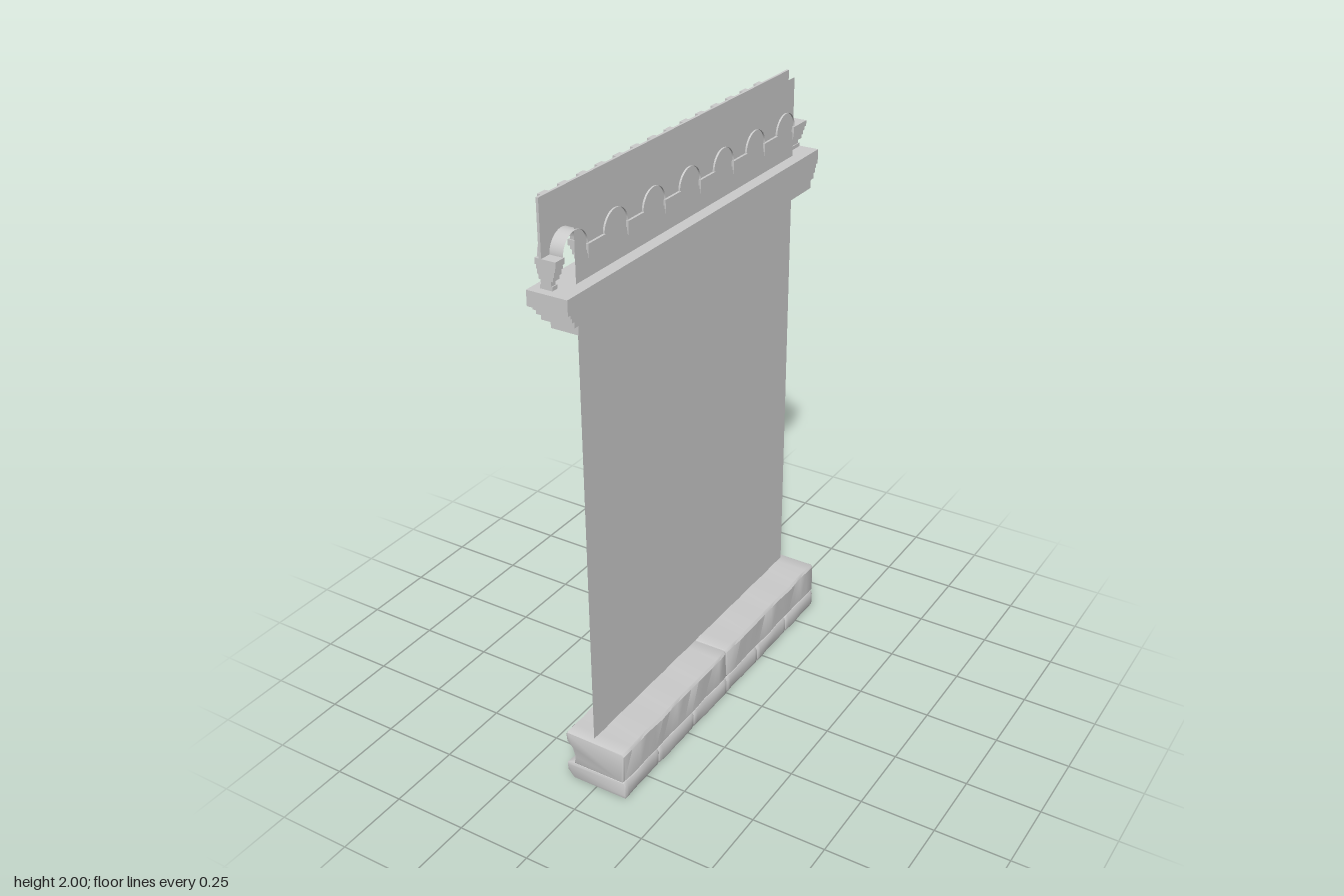
import * as THREE from 'three';
import { toCreasedNormals } from 'three/addons/utils/BufferGeometryUtils.js';

const stone = new THREE.MeshStandardMaterial({ color: 0xcccccc });
const thin = new THREE.MeshStandardMaterial({ color: 0xcccccc, side: THREE.DoubleSide });

const PITCH = 0.193, ARCHES = 7, FIRST = 0.612, SPRING = 1.83, R = 0.058;

function add(parent, name, geometry, material = stone) {
  const mesh = new THREE.Mesh(geometry, material);
  mesh.name = name;
  parent.add(mesh);
  return mesh;
}

// Box given by its limits on each axis
function box(parent, name, x0, x1, y0, y1, z0, z1) {
  add(parent, name, new THREE.BoxGeometry(x1 - x0, y1 - y0, z1 - z0))
    .position.set((x0 + x1) / 2, (y0 + y1) / 2, (z0 + z1) / 2);
}

// Extrude a shape drawn in (z, y) through x0..x1
function slab(shape, x0, x1) {
  const g = new THREE.ExtrudeGeometry(shape, { depth: x1 - x0, bevelEnabled: false, curveSegments: 20 });
  g.rotateY(-Math.PI / 2);
  g.translate(x1, 0, 0);
  return toCreasedNormals(g, 0.6);
}

// Worn block: an (x, y) profile run along z, with bevelled ends and a slight waviness
function wornBlock(parent, name, points, z0, z1) {
  const b = 0.006;
  const shape = new THREE.Shape(points.map(p => new THREE.Vector2(...p)));
  const g = new THREE.ExtrudeGeometry(shape, {
    depth: z1 - z0 - 2 * b, steps: 14, bevelSize: b, bevelOffset: -b, bevelThickness: b, bevelSegments: 2,
  });
  g.translate(0, 0, z0 + b);
  const p = g.attributes.position;
  for (let i = 0; i < p.count; i++) {
    const x = p.getX(i), y = p.getY(i), z = p.getZ(i);
    const wave = Math.sin(z * 23 + y * 31) * 0.6 + Math.sin(z * 51 - y * 47 + 1) * 0.4;
    p.setX(i, x + wave * (x < 0 ? 0.005 : 0.002));
    if (y > 0.01) p.setY(i, y + Math.sin(z * 37 + x * 20) * 0.0015);
  }
  add(parent, name, toCreasedNormals(g, 0.7));
}

function makeBase() {
  const base = new THREE.Group();
  base.name = 'base';
  const lower = [[-0.092, 0], [0.108, 0], [0.112, 0.012], [0.112, 0.05], [0.106, 0.061],
    [-0.085, 0.061], [-0.11, 0.05], [-0.112, 0.025]];
  const upper = [[-0.08, 0.061], [0.1, 0.061], [0.109, 0.07], [0.109, 0.167], [0.102, 0.175],
    [-0.108, 0.175], [-0.114, 0.165], [-0.11, 0.14], [-0.088, 0.12], [-0.075, 0.09]];
  const joints = [-0.627, -0.42, -0.21, 0, 0.215, 0.43, 0.63];
  for (let i = 0; i < joints.length - 1; i++) wornBlock(base, 'lowerStone', lower, joints[i], joints[i + 1]);
  wornBlock(base, 'upperStone', upper, -0.627, 0);
  wornBlock(base, 'upperStone', upper, 0, 0.63);
  return base;
}

function makeCornice() {
  const cornice = new THREE.Group();
  cornice.name = 'cornice';
  // back x, bottom y, top y, half length
  const steps = [
    [-0.11, 1.682, 1.73, 0.707], [-0.1, 1.67, 1.682, 0.695], [-0.094, 1.656, 1.67, 0.689],
    [-0.085, 1.638, 1.656, 0.68], [-0.067, 1.61, 1.638, 0.662],
  ];
  for (const [x, y0, y1, h] of steps) box(cornice, 'corniceStep', x, 0.025, y0, y1, -h, h);
  return cornice;
}

function makeArcade() {
  const arcade = new THREE.Group();
  arcade.name = 'arcade';
  const centres = Array.from({ length: ARCHES }, (_, i) => FIRST - i * PITCH).reverse();

  // Frieze plate with its lower edge cut by the arches
  const plate = new THREE.Shape();
  plate.moveTo(-0.637, 2);
  plate.lineTo(-0.637, SPRING);
  for (const c of centres) {
    plate.lineTo(c - R, SPRING);
    plate.absarc(c, SPRING, R, Math.PI, 0, true);
  }
  plate.lineTo(0.707, SPRING);
  plate.lineTo(0.707, 2);
  add(arcade, 'friezePlate', slab(plate, -0.062, -0.054));

  for (const c of centres) {
    // Stepped arch mouldings
    for (const [inner, outer, x] of [[R, 0.071, -0.07], [0.071, 0.085, -0.075]]) {
      const ring = new THREE.Shape();
      ring.absarc(c, SPRING, outer, 0, Math.PI, false);
      ring.absarc(c, SPRING, inner, Math.PI, 0, true);
      add(arcade, 'archMoulding', slab(ring, x, -0.058));
    }
    // Curved underside of the arch
    const soffit = new THREE.CylinderGeometry(R, R, 0.048, 24, 1, true, 0, Math.PI);
    soffit.rotateZ(Math.PI / 2);
    soffit.translate(-0.034, SPRING, c);
    add(arcade, 'archSoffit', soffit, thin);
  }

  // Stepped corbels carrying the arches; the end one is cut at the edge
  const tiers = [
    [1.812, 1.83, 0.042, -0.076, -0.008], [1.8, 1.812, 0.037, -0.072, -0.011],
    [1.785, 1.8, 0.034, -0.069, -0.014], [1.772, 1.785, 0.03, -0.066, -0.018],
    [1.757, 1.772, 0.021, -0.059, -0.025], [1.745, 1.757, 0.025, -0.062, -0.022],
  ];
  for (let i = 0; i <= ARCHES; i++) {
    const z = i < ARCHES ? FIRST + PITCH / 2 - i * PITCH : -0.638;
    for (const [y0, y1, h, x0, x1] of tiers)
      box(arcade, 'corbelTier', x0, x1, y0, y1, z - h, Math.min(z + h, 0.707));
  }

  // Row of small brackets under the top edge
  const bracket = new THREE.Shape([[-0.09, 1.99], [-0.09, 1.955], [-0.083, 1.938], [-0.07, 1.928],
    [-0.055, 1.928], [-0.055, 1.99]].map(p => new THREE.Vector2(...p)));
  const bracketGeometry = new THREE.ExtrudeGeometry(bracket, { depth: 0.034, bevelEnabled: false });
  for (let i = 0; i < 14; i++)
    add(arcade, 'bracket', bracketGeometry).position.z = 0.629 - i * 0.0873;
  return arcade;
}

export function createModel() {
  const model = new THREE.Group();
  model.name = 'wallSection';
  model.add(makeBase(), makeCornice(), makeArcade());

  // Thin wall sheet between base and top edge
  const sheet = new THREE.PlaneGeometry(1.214, 1.87);
  sheet.rotateY(Math.PI / 2);
  add(model, 'wallSheet', sheet, thin).position.set(-0.016, 1.055, 0.002);
  return model;
}
